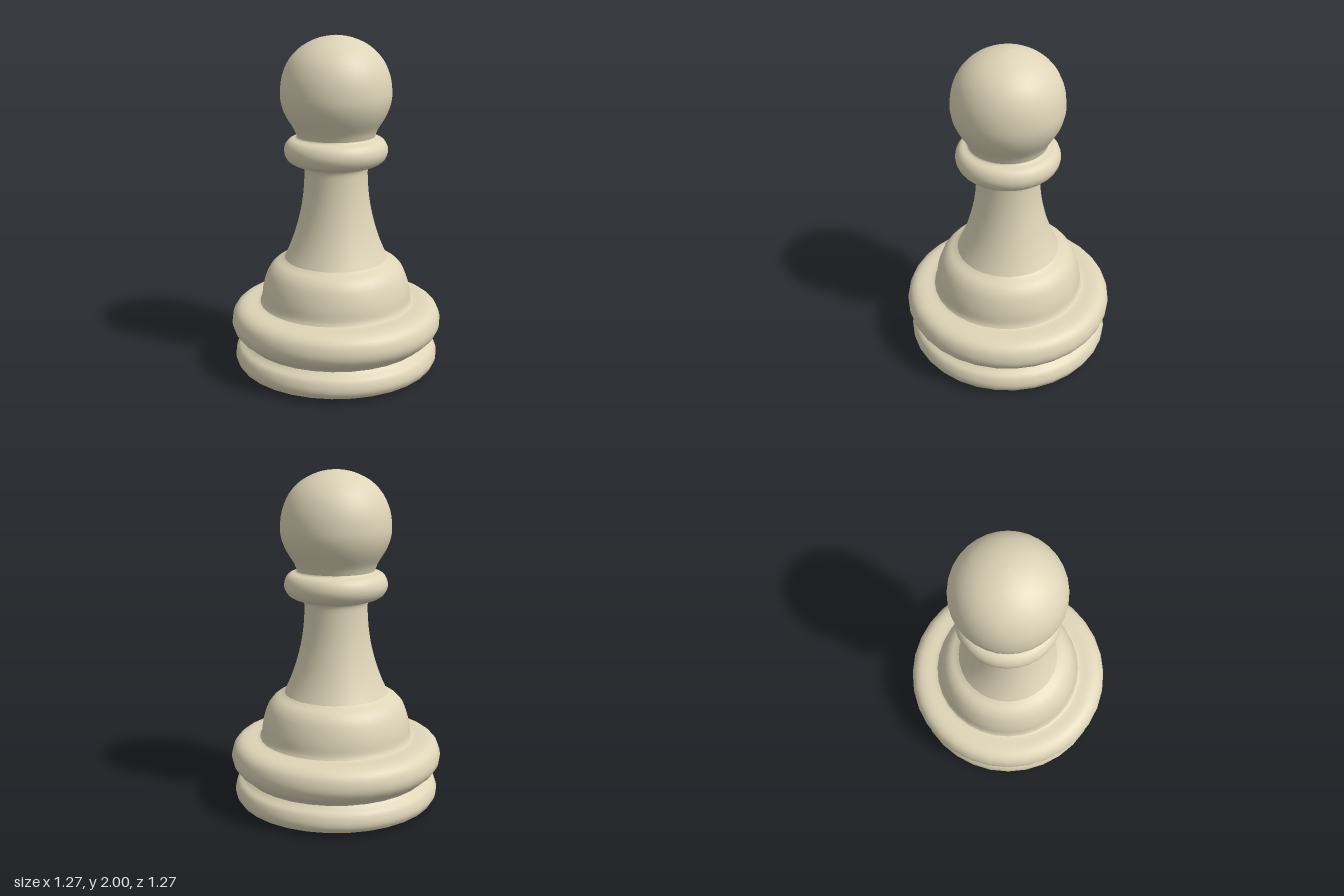
import * as THREE from 'three';

const SEGMENTS = 32;

export function createModel() {
  const group = new THREE.Group();
  group.name = 'pawn';
  const ivory = new THREE.MeshStandardMaterial({ color: 0xded5b8 });
  ivory.name = 'ivory';

  // Turns a smooth curve through [radius, height] points, listed bottom to top
  function turn(name, profile) {
    const curve = new THREE.SplineCurve(profile.map(([r, y]) => new THREE.Vector2(r, y)));
    const points = curve.getPoints((profile.length - 1) * 3);
    points.forEach((p) => { p.x = Math.max(p.x, 0); });
    const mesh = new THREE.Mesh(new THREE.LatheGeometry(points, SEGMENTS), ivory);
    mesh.name = name;
    group.add(mesh);
  }

  // Slightly domed underside
  turn('underside', [[0, 0], [0.3, 0.004], [0.52, 0.012], [0.6, 0.03]]);

  // Lower foot ring, up to the groove
  turn('footRing', [[0.6, 0.03], [0.616, 0.06], [0.616, 0.095], [0.6, 0.135],
    [0.57, 0.157], [0.553, 0.173]]);

  // Wide rounded ring above the groove
  turn('baseRing', [[0.553, 0.173], [0.568, 0.192], [0.605, 0.22], [0.63, 0.26],
    [0.634, 0.305], [0.618, 0.355], [0.585, 0.385], [0.54, 0.397], [0.48, 0.4], [0.462, 0.405]]);

  // Bell-shaped shoulder
  turn('shoulder', [[0.462, 0.405], [0.452, 0.43], [0.445, 0.485], [0.43, 0.545],
    [0.405, 0.605], [0.37, 0.645], [0.33, 0.667], [0.31, 0.68]]);

  // Tapering stem with a small flare under the collar
  turn('stem', [[0.31, 0.68], [0.278, 0.75], [0.242, 0.85], [0.211, 0.97],
    [0.194, 1.08], [0.187, 1.19], [0.19, 1.23], [0.2, 1.245]]);

  // Collar
  turn('collar', [[0.2, 1.245], [0.25, 1.256], [0.287, 1.282], [0.305, 1.325],
    [0.298, 1.368], [0.274, 1.398], [0.238, 1.41], [0.23, 1.42]]);

  // Ball head narrowing to the neck
  turn('head', [[0.23, 1.42], [0.246, 1.462], [0.288, 1.53], [0.315, 1.595], [0.325, 1.665],
    [0.313, 1.765], [0.27, 1.863], [0.195, 1.938], [0.095, 1.985], [0, 2]]);

  return group;
}
